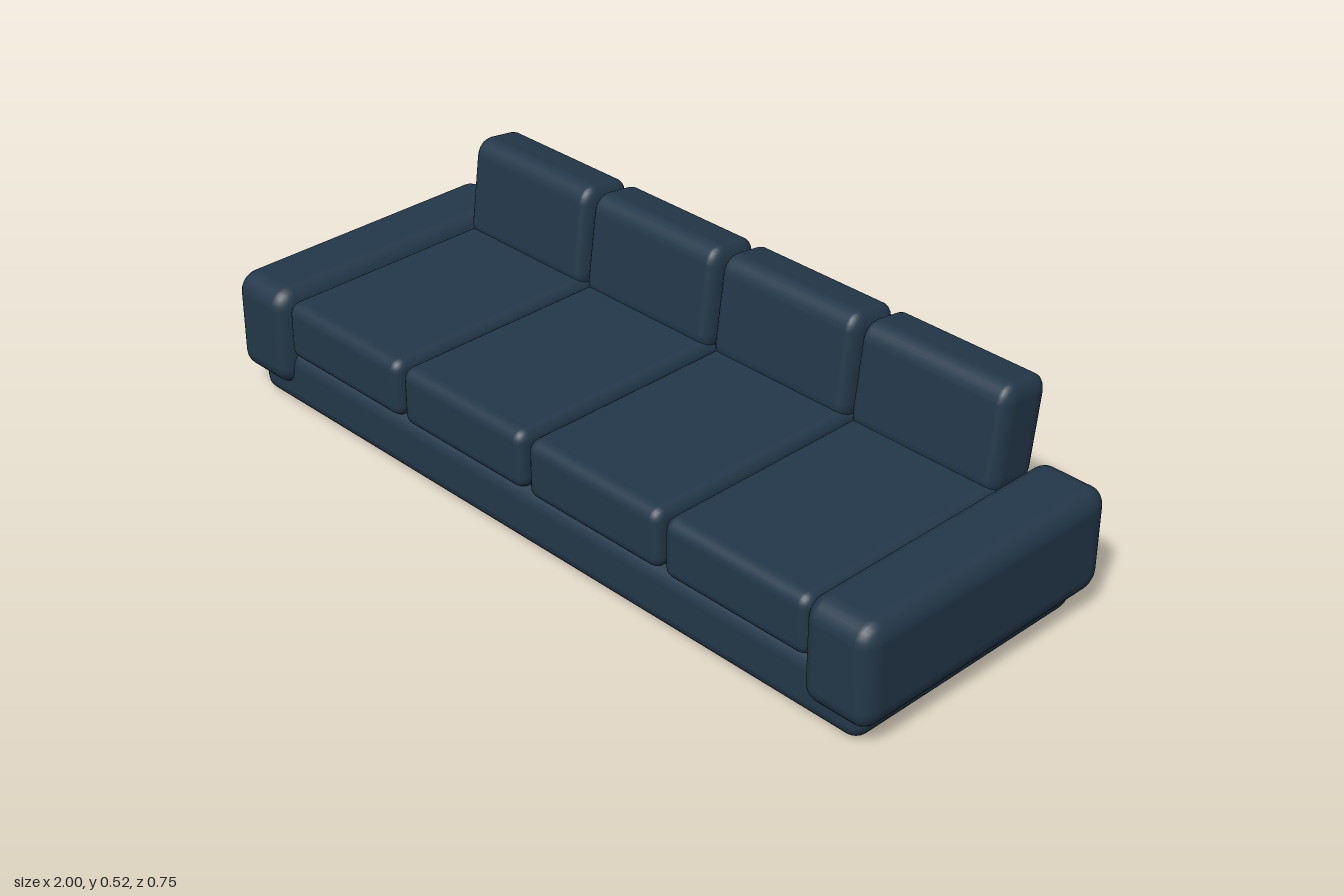
import * as THREE from 'three';
import { RoundedBoxGeometry } from 'three/addons/geometries/RoundedBoxGeometry.js';

const fabric = new THREE.MeshStandardMaterial({ color: 0x24384a });
fabric.name = 'navyFabric';

// Soft block with its own corner radius along each axis
function softBlock(name, size, radius, position) {
  const [w, h, d] = size.map((s, i) => s / radius[i]);
  const geometry = new RoundedBoxGeometry(w, h, d, 3, 1).scale(...radius);
  const mesh = new THREE.Mesh(geometry, fabric);
  mesh.name = name;
  mesh.position.set(...position);
  return mesh;
}

export function createModel() {
  const sofa = new THREE.Group();
  sofa.name = 'sofa';

  // Low plinth
  sofa.add(softBlock('base', [1.914, 0.15, 0.686], [0.035, 0.04, 0.04], [0, 0.075, 0]));

  // Wide armrests that overhang the plinth
  for (const [side, name] of [[1, 'leftArm'], [-1, 'rightArm']]) {
    sofa.add(softBlock(name, [0.178, 0.253, 0.746], [0.038, 0.05, 0.05], [side * 0.911, 0.184, 0]));
  }

  // Four seat cushions, each with a leaning back cushion
  [-0.6225, -0.2085, 0.2085, 0.6225].forEach((x, i) => {
    sofa.add(softBlock(`seatCushion${i + 1}`, [0.401, 0.147, 0.69], [0.025, 0.03, 0.03], [x, 0.217, 0.009]));
    const back = softBlock(`backCushion${i + 1}`, [0.401, 0.26, 0.143], [0.025, 0.045, 0.04], [x, 0.383, -0.285]);
    back.rotation.x = -0.132;
    sofa.add(back);
  });

  return sofa;
}
